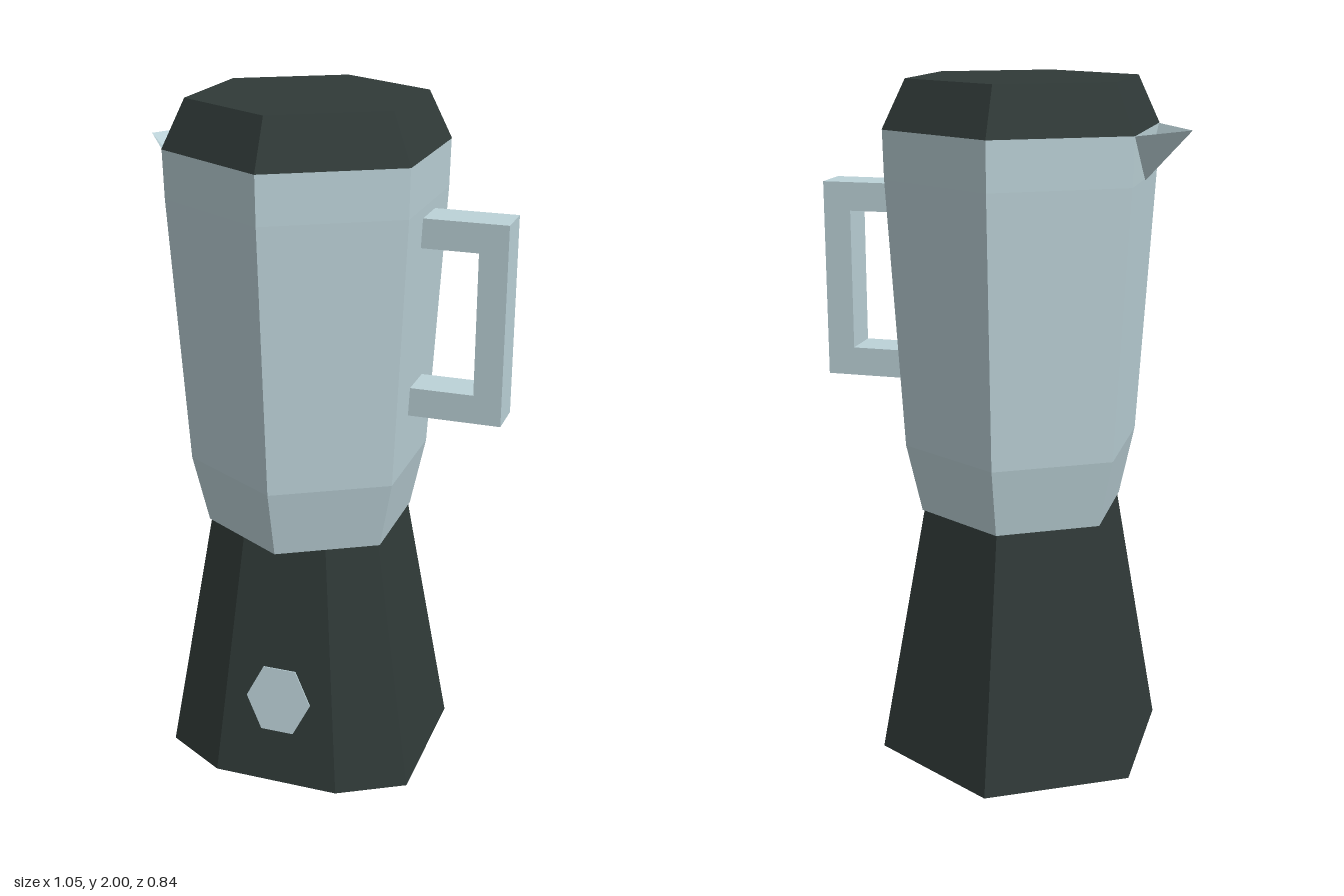
import * as THREE from 'three';

const CX = -0.055, CZ = 0.0175; // axis of the body

const metal = new THREE.MeshStandardMaterial({ color: 0xbcd2d8, flatShading: true });
metal.name = 'pale steel';
const metalSheet = new THREE.MeshStandardMaterial({ color: 0xbcd2d8, flatShading: true, side: THREE.DoubleSide });
metalSheet.name = 'pale steel sheet';
const dark = new THREE.MeshStandardMaterial({ color: 0x303a38, flatShading: true });
dark.name = 'dark plastic';

// Hexagon with corners on the z axis; the front corner may be cut flat at z = cut
function hexRing(radius, cut) {
  const points = [];
  for (let i = 0; i < 6; i++) {
    const a = (i * Math.PI) / 3;
    const x = radius * Math.sin(a), z = radius * Math.cos(a);
    if (i === 0 && cut !== undefined) {
      const w = (radius - cut) * Math.sqrt(3);
      points.push([-w, cut], [w, cut]);
    } else points.push([x, z]);
  }
  return points;
}

// Joins rings from bottom to top and closes both ends
function loft(levels) {
  const pos = [];
  const rings = levels.map(({ y, r, cut }) => hexRing(r, cut).map(([x, z]) => [x, y, z]));
  const tri = (a, b, c) => pos.push(...a, ...b, ...c);
  const n = rings[0].length;
  for (let k = 0; k < rings.length - 1; k++) {
    for (let i = 0; i < n; i++) {
      const j = (i + 1) % n, lo = rings[k], hi = rings[k + 1];
      tri(lo[i], lo[j], hi[j]);
      tri(lo[i], hi[j], hi[i]);
    }
  }
  const bottom = rings[0], top = rings[rings.length - 1];
  for (let i = 1; i < n - 1; i++) {
    tri(bottom[0], bottom[i + 1], bottom[i]);
    tri(top[0], top[i], top[i + 1]);
  }
  return fromTriangles(pos);
}

function fromTriangles(pos) {
  const g = new THREE.BufferGeometry();
  g.setAttribute('position', new THREE.Float32BufferAttribute(pos, 3));
  g.computeVertexNormals();
  return g;
}

export function createModel() {
  const group = new THREE.Group();
  group.name = 'blender';
  const add = (name, geometry, material, x = CX, y = 0, z = CZ) => {
    const mesh = new THREE.Mesh(geometry, material);
    mesh.name = name;
    mesh.position.set(x, y, z);
    group.add(mesh);
    return mesh;
  };

  // Motor base with a flat control face at the front
  add('base', loft([
    { y: 0, r: 0.4388, cut: 0.3285 },
    { y: 0.757, r: 0.3, cut: 0.2275 },
  ]), dark);

  // Jug and lid
  add('jug', loft([
    { y: 0.757, r: 0.306 },
    { y: 0.96, r: 0.352 },
    { y: 1.73, r: 0.399 },
    { y: 1.865, r: 0.402 },
  ]), metal);
  add('lid', loft([
    { y: 1.865, r: 0.403 },
    { y: 2, r: 0.336 },
  ]), dark);

  // Open V-shaped spout on the side opposite the handle
  const tip = [-0.472, 1.864, 0], keel = [-0.346, 1.725, 0];
  const back = [-0.347, 1.864, -0.2], front = [-0.347, 1.864, 0.2];
  add('spout', fromTriangles([...back, ...keel, ...tip, ...tip, ...keel, ...front]), metalSheet);

  // C-shaped handle
  const c = new THREE.Shape([
    [0.25, 1.13], [0.525, 1.13], [0.525, 1.7], [0.27, 1.7],
    [0.27, 1.618], [0.445, 1.618], [0.445, 1.213], [0.25, 1.213],
  ].map(([x, y]) => new THREE.Vector2(x, y)));
  add('handle', new THREE.ExtrudeGeometry(c, { depth: 0.12, bevelEnabled: false }), metal, 0, 0, CZ - 0.06);

  // Hexagonal button lying on the sloped control face
  const button = new THREE.CylinderGeometry(0.1, 0.1, 0.006, 6);
  button.rotateY(Math.PI / 6).rotateX(Math.PI / 2);
  button.computeBoundingBox();
  const size = button.boundingBox.getSize(new THREE.Vector3());
  if (size.x < size.y) button.rotateZ(Math.PI / 6); // corners point sideways
  button.scale(1, 1.155, 1);
  const slope = Math.atan2(0.101, 0.757);
  const faceZ = CZ + 0.3285 - 0.265 * (0.101 / 0.757);
  add('button', button, metal, CX, 0.265, faceZ + 0.001).rotation.x = -slope;

  return group;
}
